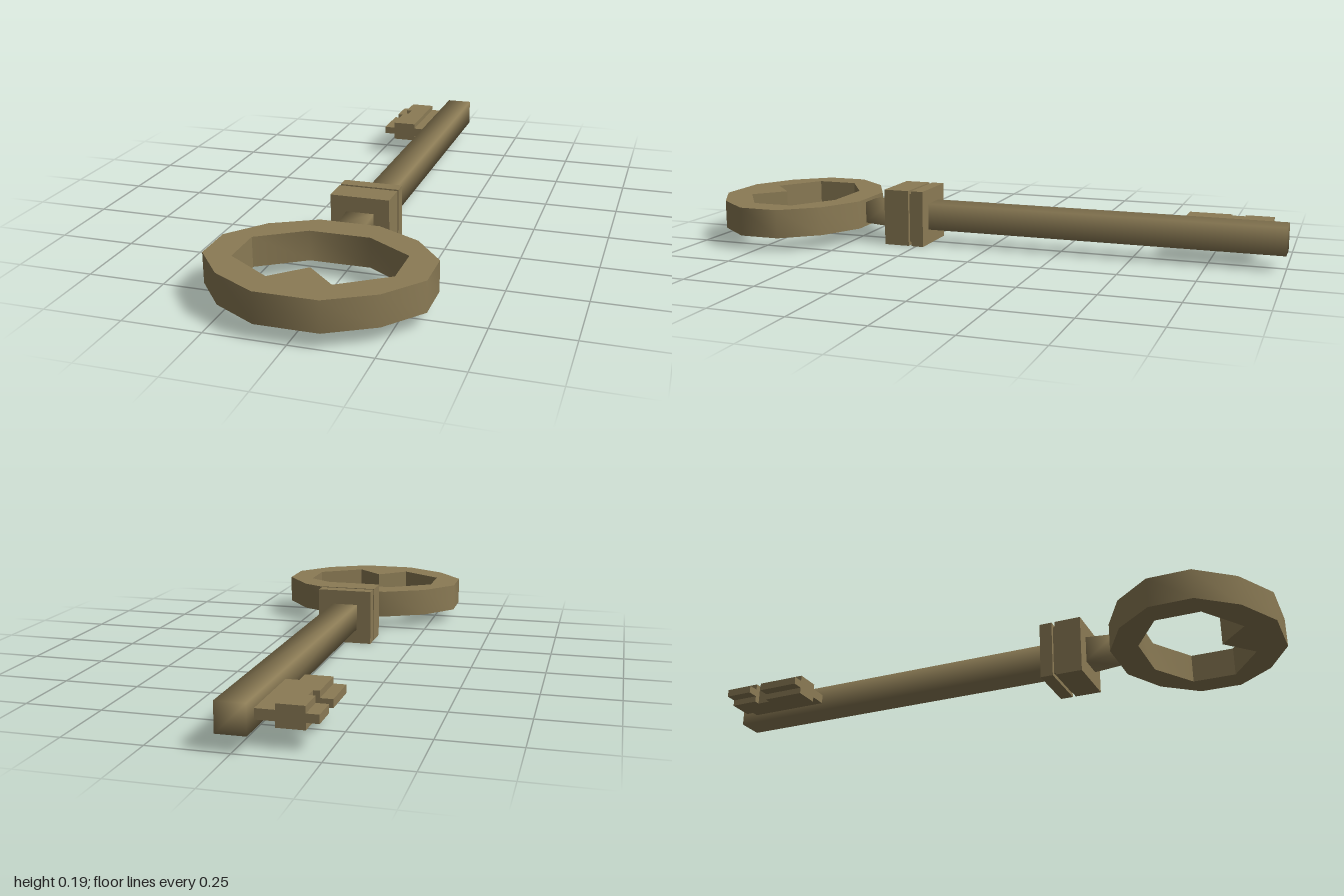
import * as THREE from 'three';
import { mergeVertices, toCreasedNormals } from 'three/addons/utils/BufferGeometryUtils.js';

const material = new THREE.MeshStandardMaterial({ color: 0x8b7b55 });
const MID = 0.098; // height of the key's centre plane

function addMesh(parent, name, geometry) {
  const mesh = new THREE.Mesh(geometry, material);
  mesh.name = name;
  parent.add(mesh);
  return mesh;
}

// Square bar along z; half sizes at its back and front ends, softly shaded
function squareBar(z0, z1, half, h0, h1) {
  let g = new THREE.BoxGeometry(2 * half, 2, z1 - z0);
  const p = g.attributes.position;
  for (let i = 0; i < p.count; i++) p.setY(i, p.getY(i) * (p.getZ(i) < 0 ? h0 : h1));
  g.deleteAttribute('normal');
  g.deleteAttribute('uv');
  g = mergeVertices(g);
  g.computeVertexNormals();
  return g.translate(0, MID, (z0 + z1) / 2);
}

// Closed outline from its +x half, listed along z
function mirrored(half) {
  const other = half.filter(([x]) => x > 0).map(([x, z]) => [-x, z]).reverse();
  return [...half, ...other].map(([x, z]) => new THREE.Vector2(x, z));
}

export function createModel() {
  const key = new THREE.Group();
  key.name = 'key';

  // Bow: faceted ring with a pointed tooth inside its far end
  const outline = new THREE.Shape(mirrored(
    [[0.097, 0.465], [0.24, 0.54], [0.337, 0.66], [0.337, 0.80], [0.24, 0.92], [0.097, 1]]));
  outline.holes.push(new THREE.Path(mirrored(
    [[0.097, 0.56], [0.245, 0.655], [0.245, 0.80], [0.097, 0.90], [0, 0.81]])));
  const bow = new THREE.ExtrudeGeometry(outline, { depth: 0.098, bevelEnabled: false });
  bow.rotateX(Math.PI / 2).translate(0, 0.147, 0);
  addMesh(key, 'bow', toCreasedNormals(bow, 0.75));

  // Neck and shaft
  addMesh(key, 'neck', squareBar(0.36, 0.47, 0.045, 0.046, 0.037));
  addMesh(key, 'shaft', squareBar(-1, 0.23, 0.046, 0.046, 0.046));

  // Collar: two square blocks parted by a narrow groove
  const collar = new THREE.Group();
  collar.name = 'collar';
  key.add(collar);
  for (const [name, z0, z1, half] of [
    ['collarFlange', 0.223, 0.266, 0.0975],
    ['collarGroove', 0.26, 0.285, 0.085],
    ['collarBlock', 0.277, 0.367, 0.0975],
  ]) {
    const g = new THREE.BoxGeometry(2 * half, 2 * half, z1 - z0);
    addMesh(collar, name, g).position.set(0, 0.0975, (z0 + z1) / 2);
  }

  // Bit: thin web, thick rib and thin outer lip, with a notch cut in the edge
  const bit = new THREE.Group();
  bit.name = 'bit';
  key.add(bit);
  const bitSlice = (name, z0, z1, notched) => {
    const half = notched
      ? [[-0.04, 0.016], [-0.105, 0.016], [-0.105, 0.034], [-0.17, 0.034]]
      : [[-0.04, 0.016], [-0.105, 0.016], [-0.105, 0.034], [-0.19, 0.034],
        [-0.19, 0.013], [-0.228, 0.013]];
    const points = [...half, ...half.map(([x, y]) => [x, -y]).reverse()]
      .map(([x, y]) => new THREE.Vector2(x, y + MID - 0.002));
    const g = new THREE.ExtrudeGeometry(new THREE.Shape(points),
      { depth: z1 - z0, bevelEnabled: false });
    addMesh(bit, name, g.translate(0, 0, z0));
  };
  bitSlice('bitTipWard', -0.94, -0.845, false);
  bitSlice('bitNotch', -0.845, -0.80, true);
  bitSlice('bitRearWard', -0.80, -0.655, false);

  return key;
}
